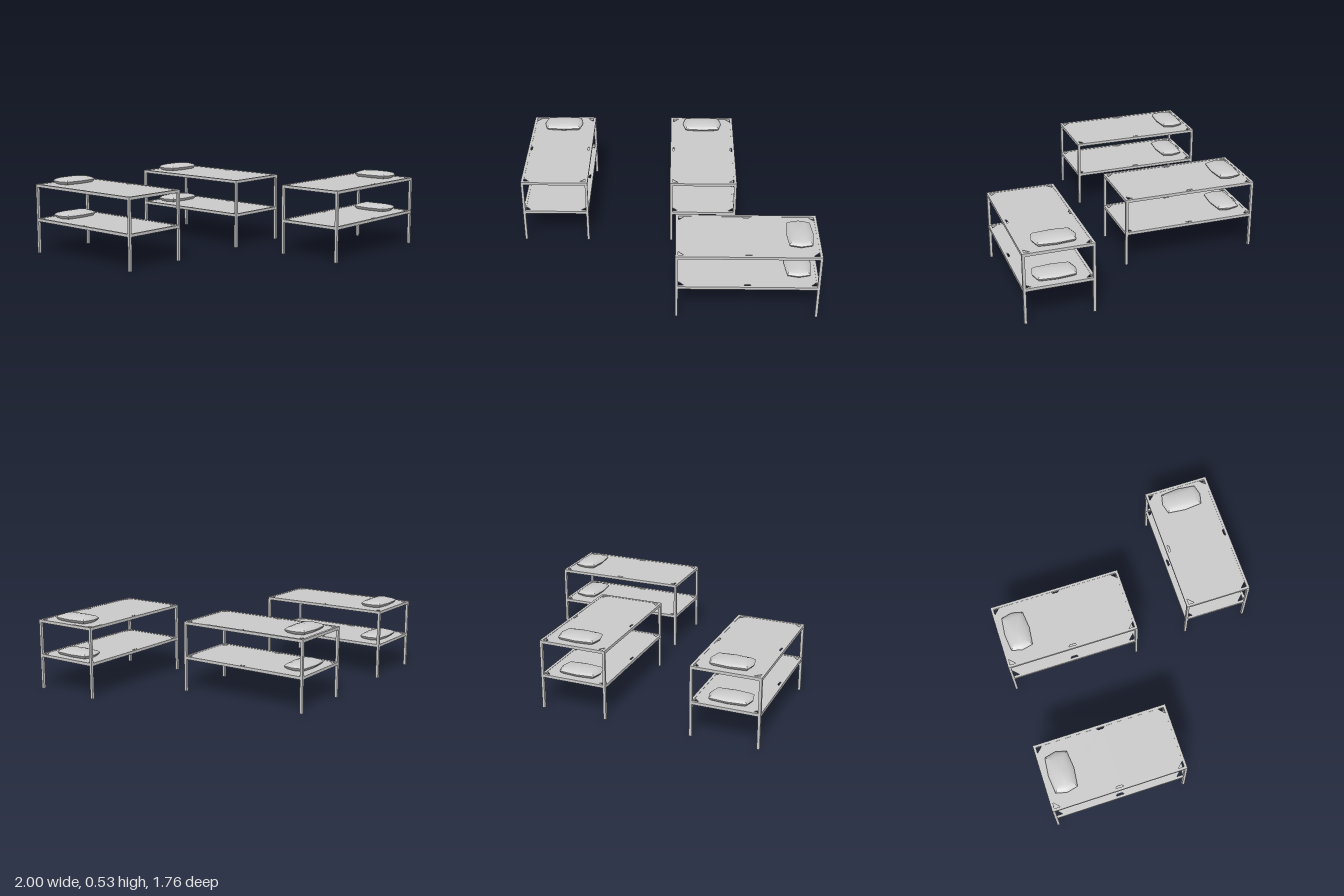
import * as THREE from 'three';
import { toCreasedNormals } from 'three/addons/utils/BufferGeometryUtils.js';

const HX = 0.231, HZ = 0.462, RAIL = 0.018, TOP = 0.48;
const DECKS = [0.242, TOP];
const material = new THREE.MeshStandardMaterial({ color: 0xcccccc });

function add(parent, name, geometry, x = 0, y = 0, z = 0) {
  const mesh = new THREE.Mesh(geometry, material);
  mesh.name = name;
  mesh.position.set(x, y, z);
  parent.add(mesh);
  return mesh;
}

// Canvas sheet: cut corners and a small lacing notch midway along each long side
function sheetGeometry() {
  const x = HX - RAIL, z = HZ - RAIL, c = 0.04;
  const half = [[x - c, -z], [x, -z + c], [x, -0.028], [x - 0.012, -0.018],
    [x - 0.012, 0.018], [x, 0.028], [x, z - c], [x - c, z]];
  const outline = [...half, ...half.map(([a, b]) => [-a, -b])];
  const shape = new THREE.Shape(outline.map(([a, b]) => new THREE.Vector2(a, b)));
  return new THREE.ExtrudeGeometry(shape, { depth: 0.004, bevelEnabled: false }).rotateX(-Math.PI / 2);
}

// Pillow: stacked barrel-shaped loops closed by a shallow crown
function pillowGeometry() {
  const outline = [[0.142, 0], [0.124, 0.075], [0, 0.088], [-0.124, 0.075],
    [-0.142, 0], [-0.124, -0.075], [0, -0.088], [0.124, -0.075]];
  const rings = [[0, 0], [0.018, 0], [0.004, 0.012], [0, 0.021], [0.016, 0.035], [0.045, 0.043]];
  const n = outline.length, positions = [], index = [];
  positions.push(0, 0, 0);
  for (const [inset, y] of rings.slice(1)) {
    for (const [x, z] of outline) {
      positions.push(x * (1 - inset / 0.142), y, z * (1 - inset / 0.088));
    }
  }
  positions.push(0, 0.049, 0);
  const last = positions.length / 3 - 1, loops = rings.length - 1;
  for (let i = 0; i < n; i++) {
    const j = (i + 1) % n;
    index.push(0, 1 + i, 1 + j);
    for (let r = 0; r < loops - 1; r++) {
      const a = 1 + r * n + i, b = 1 + r * n + j;
      index.push(a, a + n, b, b, a + n, b + n);
    }
    index.push(last - n + i, last, last - n + j);
  }
  const geometry = new THREE.BufferGeometry();
  geometry.setAttribute('position', new THREE.Float32BufferAttribute(positions, 3));
  geometry.setIndex(index);
  return toCreasedNormals(geometry, 0.5);
}

function createBunk(name) {
  const bunk = new THREE.Group();
  bunk.name = name;
  const post = new THREE.BoxGeometry(RAIL, TOP, RAIL);
  const sideRail = new THREE.BoxGeometry(RAIL, 0.02, 2 * (HZ - RAIL));
  const endRail = new THREE.BoxGeometry(2 * (HX - RAIL), 0.02, RAIL);
  const sheet = sheetGeometry(), pillow = pillowGeometry();
  const px = HX - RAIL / 2, pz = HZ - RAIL / 2;

  // Corner posts
  for (const sx of [-1, 1]) {
    for (const sz of [-1, 1]) add(bunk, 'post', post, sx * px, TOP / 2, sz * pz);
  }
  // Two decks, each with rails, sheet and pillow
  for (const y of DECKS) {
    for (const s of [-1, 1]) {
      add(bunk, 'sideRail', sideRail, s * px, y - 0.01, 0);
      add(bunk, 'endRail', endRail, 0, y - 0.01, s * pz);
    }
    add(bunk, 'sheet', sheet, 0, y - 0.006, 0);
    add(bunk, 'pillow', pillow, 0, y - 0.002, -0.333);
  }
  return bunk;
}

export function createModel() {
  const model = new THREE.Group();
  model.name = 'bunkBeds';
  // Two parallel bunks at the back, one turned sideways in front
  const layout = [
    ['rightBunk', -0.769, -0.42, 0],
    ['middleBunk', 0.265, -0.422, 0],
    ['frontBunk', 0.538, 0.645, -Math.PI / 2],
  ];
  for (const [name, x, z, turn] of layout) {
    const bunk = createBunk(name);
    bunk.position.set(x, 0, z);
    bunk.rotation.y = turn;
    model.add(bunk);
  }
  return model;
}
